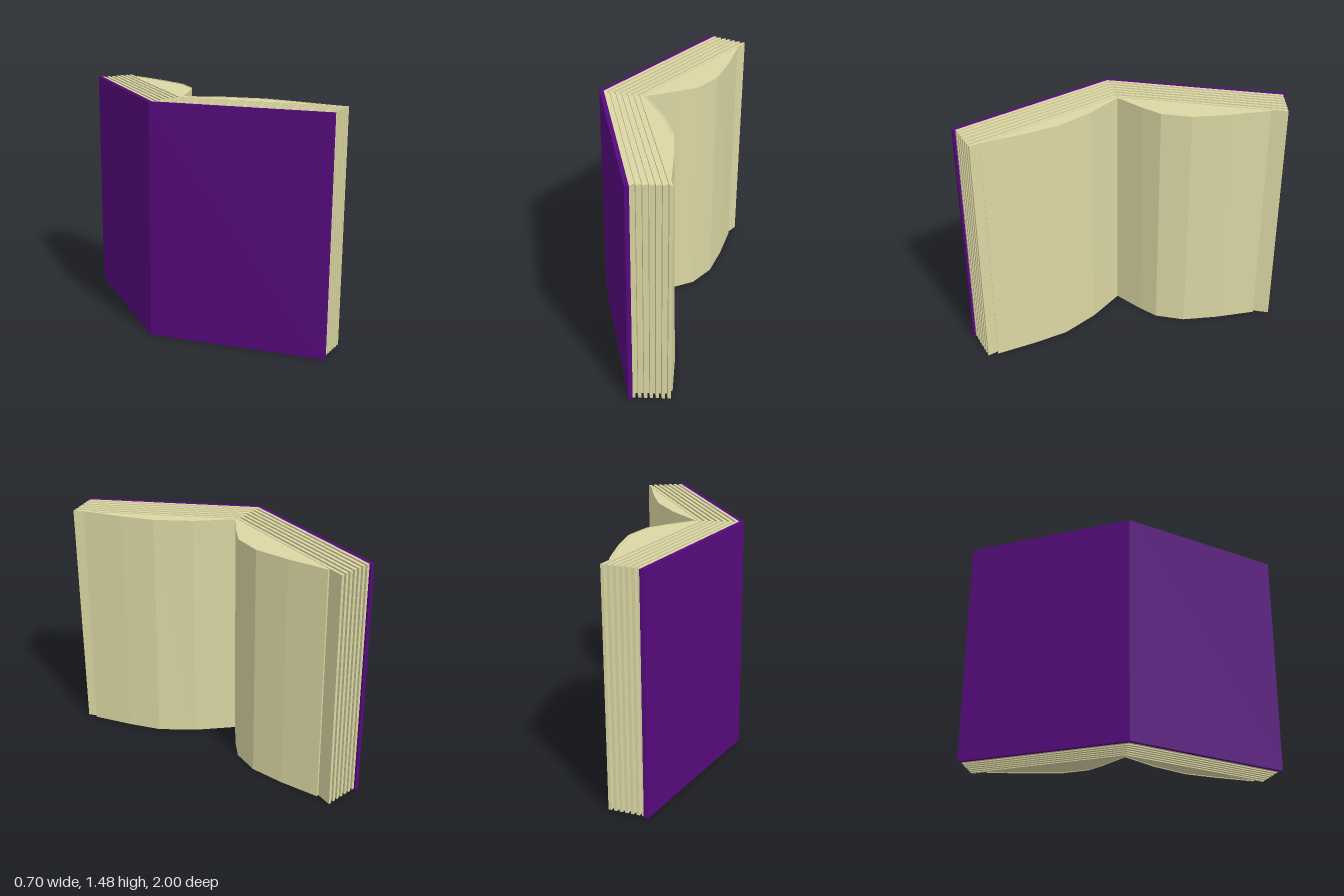
import * as THREE from 'three';

const HEIGHT = 1.475;   // height of the standing book
const SLOPE = 0.465;    // how far each half opens in x per unit of z

const coverMaterial = new THREE.MeshStandardMaterial({ color: 0x560a7c });
const pageMaterial = new THREE.MeshStandardMaterial({ color: 0xdbd6a3 });

// Extrude an outline of [x, z] points upwards between two heights
function prism(name, outline, y0, y1, material) {
  const shape = new THREE.Shape(outline.map(([x, z]) => new THREE.Vector2(x, -z)));
  const geometry = new THREE.ExtrudeGeometry(shape, { depth: y1 - y0, bevelEnabled: false });
  geometry.rotateX(-Math.PI / 2).translate(0, y0, 0);
  const mesh = new THREE.Mesh(geometry, material);
  mesh.name = name;
  return mesh;
}

// V-shaped layer between two fold positions, reaching z = outerEnd / innerEnd
function layer(outer, inner, outerEnd, innerEnd) {
  return [
    [outer, 0],
    [outer + SLOPE * outerEnd, outerEnd],
    [inner + SLOPE * innerEnd, innerEnd],
    [inner, 0],
    [inner + SLOPE * innerEnd, -innerEnd],
    [outer + SLOPE * outerEnd, -outerEnd],
  ];
}

// Let the lower edge of a sheet lean outwards
function leanOut(mesh, amount) {
  const p = mesh.geometry.attributes.position;
  for (let i = 0; i < p.count; i++) {
    const reach = Math.min(1, Math.abs(p.getZ(i)) / 0.4);
    p.setX(i, p.getX(i) + amount * reach * (1 - p.getY(i) / HEIGHT));
  }
  mesh.geometry.computeVertexNormals();
}

// Loose curved page on the page block, with the mass of paper behind it
function curvedPage(name, points, lean) {
  const group = new THREE.Group();
  group.name = name;
  const inset = points.map(([x, z]) => [x - 0.01, z]);
  const sheet = prism('sheet', [...points, ...inset.slice().reverse()], 0, HEIGHT, pageMaterial);
  const endZ = points[points.length - 1][1];
  const fill = prism('paperBehindSheet',
    [...inset, [-0.085 + SLOPE * Math.abs(endZ), endZ], [-0.085, 0]],
    0.003, HEIGHT - 0.003, pageMaterial);
  for (const mesh of [sheet, fill]) {
    leanOut(mesh, lean);
    group.add(mesh);
  }
  return group;
}

export function createModel() {
  const book = new THREE.Group();
  book.name = 'openBook';

  // Folded cover
  book.add(prism('cover', layer(-0.353, -0.325, 1, 0.993), 0, HEIGHT, coverMaterial));

  // Page block: full leaves alternating with slightly recessed ones
  const pages = new THREE.Group();
  pages.name = 'pageBlock';
  const first = -0.325, last = -0.08, count = 7, leaf = 0.02;
  const pitch = (last - first - leaf) / (count - 1);
  const reach = (fold) => 0.98 - 0.22 * (fold - first);
  for (let i = 0; i < count; i++) {
    const a = first + i * pitch, b = a + leaf, c = a + pitch;
    pages.add(prism('leaf', layer(a, b, reach(a), reach(b)), 0, HEIGHT, pageMaterial));
    if (i < count - 1) {
      pages.add(prism('recessedLeaf', layer(b, c, reach(b) - 0.025, reach(c) - 0.025),
        0.012, HEIGHT - 0.012, pageMaterial));
    }
  }
  book.add(pages);

  // Curved pages on both sides of the fold
  book.add(curvedPage('backCurvedPage',
    [[-0.06, 0], [0.11, -0.115], [0.21, -0.195], [0.29, -0.36], [0.315, -0.58], [0.322, -0.83]], 0));
  book.add(curvedPage('frontCurvedPage',
    [[-0.06, 0], [0.1, 0.2], [0.217, 0.41], [0.272, 0.61], [0.325, 0.865]], 0.02));

  return book;
}
